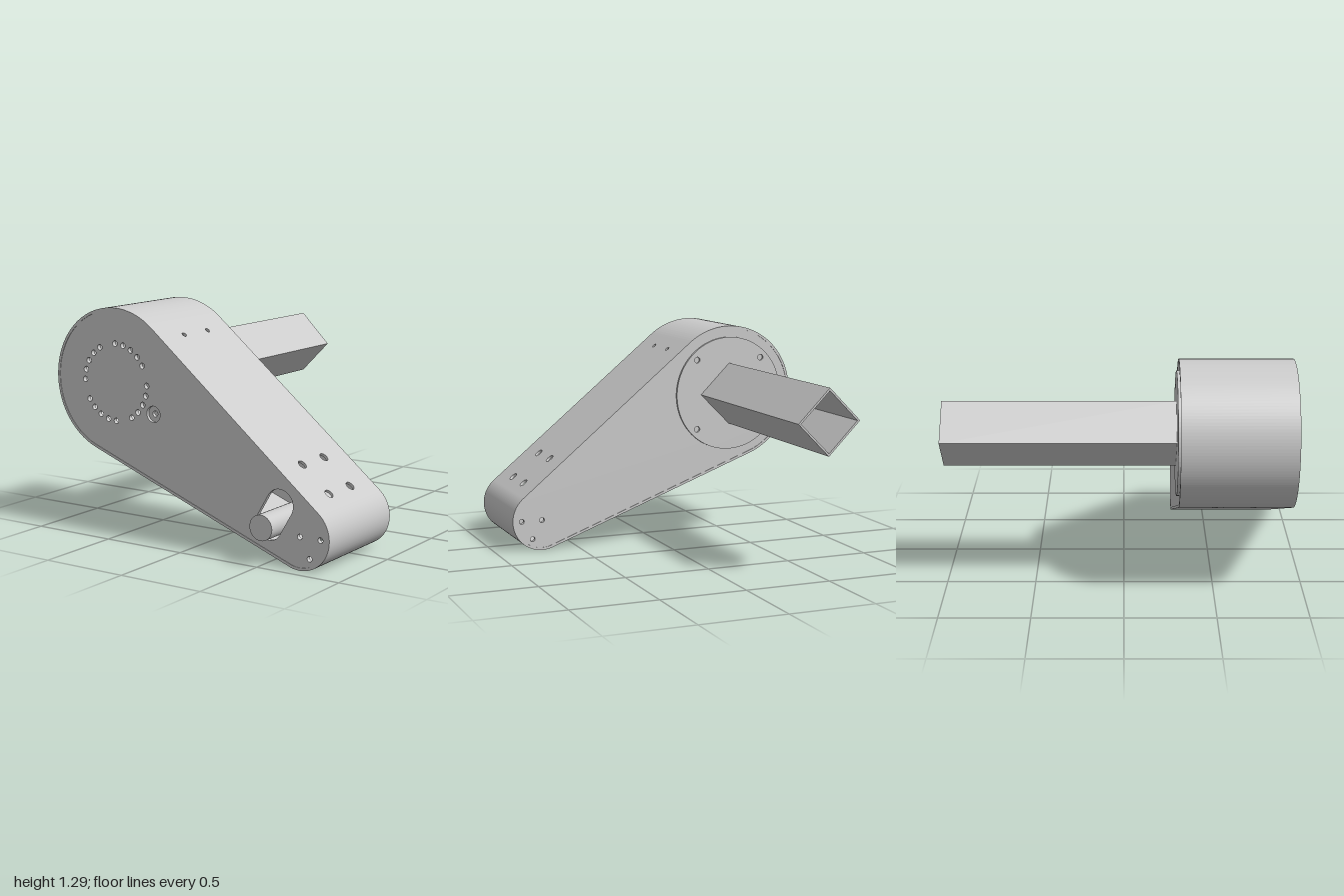
import * as THREE from 'three';

const BIG = { x: -0.49, y: 0.885, r: 0.41 };
const SMALL = { x: 0.72, y: 0.185, r: 0.18 };
const Z0 = 0.3, Z1 = 0.93, WALL = 0.015;

// Angles at which the two straight sides touch both round ends
const dx = SMALL.x - BIG.x, dy = SMALL.y - BIG.y;
const axis = Math.atan2(dy, dx);
const spread = Math.acos((BIG.r - SMALL.r) / Math.hypot(dx, dy));
const TOP = axis + spread, BOTTOM = axis - spread;

const at = (c, a, r = c.r) => new THREE.Vector2(c.x + r * Math.cos(a), c.y + r * Math.sin(a));
const circle = (x, y, r) => new THREE.Path().absarc(x, y, r, 0, Math.PI * 2, true);

export function createModel() {
  const model = new THREE.Group();
  const material = new THREE.MeshStandardMaterial({ color: 0xcccccc, roughness: 0.7 });

  const add = (name, geometry, parent = model) => {
    const mesh = new THREE.Mesh(geometry, material);
    mesh.name = name;
    parent.add(mesh);
    return mesh;
  };
  const slab = (name, shape, z0, z1, parent) => {
    const geometry = new THREE.ExtrudeGeometry(shape, { depth: z1 - z0, bevelEnabled: false, curveSegments: 40 });
    return add(name, geometry.translate(0, 0, z0), parent);
  };

  // Rounded end walls
  const endWall = (name, c, from, to) => {
    const s = new THREE.Shape();
    s.absarc(c.x, c.y, c.r, from, to, false);
    s.absarc(c.x, c.y, c.r - WALL, to, from, true);
    s.closePath();
    slab(name, s, Z0, Z1);
  };
  endWall('largeEndWall', BIG, TOP, BOTTOM + Math.PI * 2);
  endWall('smallEndWall', SMALL, BOTTOM, TOP);

  // Straight side walls, each with four large and two small screw holes
  const sideWall = (name, p, q, fromSmallEnd) => {
    const length = p.distanceTo(q);
    const s = new THREE.Shape([
      new THREE.Vector2(0, Z0), new THREE.Vector2(length, Z0),
      new THREE.Vector2(length, Z1), new THREE.Vector2(0, Z1),
    ]);
    for (const [d, r] of [[0.085, 0.026], [0.3, 0.026], [1.295, 0.014]]) {
      for (const z of [0.505, 0.72]) s.holes.push(circle(fromSmallEnd ? d : length - d, z, r));
    }
    const wall = slab(name, s, 0, WALL);
    const u = new THREE.Vector3(q.x - p.x, q.y - p.y, 0).normalize();
    const v = new THREE.Vector3(0, 0, 1);
    wall.quaternion.setFromRotationMatrix(new THREE.Matrix4().makeBasis(u, v, u.clone().cross(v)));
    wall.position.set(p.x, p.y, 0);
  };
  sideWall('topWall', at(BIG, TOP), at(SMALL, TOP), false);
  sideWall('bottomWall', at(SMALL, BOTTOM), at(BIG, BOTTOM), true);

  // Face plates sit just inside the rim
  const plateShape = () => {
    const s = new THREE.Shape();
    s.absarc(BIG.x, BIG.y, BIG.r - WALL, TOP, BOTTOM + Math.PI * 2, false);
    s.absarc(SMALL.x, SMALL.y, SMALL.r - WALL, BOTTOM, TOP, false);
    s.closePath();
    for (const [x, y] of [[0.72, 0.185], [0.845, 0.185], [0.78, 0.075]]) s.holes.push(circle(x, y, 0.015));
    return s;
  };
  const front = plateShape();

  // Ring of bolt holes with four gaps
  for (let k = 0; k < 24; k++) {
    if (k % 6 === 1) continue;
    const p = at({ x: -0.485, y: 0.882 }, k * Math.PI / 12, 0.216);
    front.holes.push(circle(p.x, p.y, 0.016));
  }

  // Adjustment slot for the pin
  const low = { x: 0.525, y: 0.22, r: 0.083 }, high = { x: 0.595, y: 0.338, r: 0.083 };
  const tilt = Math.atan2(high.y - low.y, high.x - low.x);
  const slot = new THREE.Path();
  slot.absarc(high.x, high.y, high.r, tilt + Math.PI / 2, tilt - Math.PI / 2, true);
  slot.absarc(low.x, low.y, low.r, tilt - Math.PI / 2, tilt - Math.PI * 1.5, true);
  slot.closePath();
  front.holes.push(slot);

  // Counterbored hole
  front.holes.push(circle(-0.225, 0.73, 0.045));
  slab('frontPlate', front, Z1 - 0.028, Z1 - 0.003);
  const seat = new THREE.Shape().absarc(-0.225, 0.73, 0.047, 0, Math.PI * 2, false);
  seat.holes.push(circle(-0.225, 0.73, 0.017));
  slab('counterboreSeat', seat, Z1 - 0.04, Z1 - 0.02);

  slab('backPlate', plateShape(), Z0 + 0.003, Z0 + 0.028);

  // Round rear cover with four screw holes
  const cover = new THREE.Shape().absarc(-0.485, 0.883, 0.345, 0, Math.PI * 2, false);
  for (let k = 0; k < 4; k++) {
    const p = at({ x: -0.485, y: 0.883 }, Math.PI / 4 + k * Math.PI / 2, 0.3);
    cover.holes.push(circle(p.x, p.y, 0.018));
  }
  slab('rearCover', cover, 0.288, Z0 + 0.003);

  // Hollow square arm standing on its corner
  const diamond = (r) => [0, 1, 2, 3].map((k) => at({ x: -0.485, y: 0.882 }, k * Math.PI / 2, r));
  const arm = new THREE.Shape(diamond(0.187));
  arm.holes.push(new THREE.Path(diamond(0.171).reverse()));
  slab('squareArm', arm, -1, 0.289);

  // Drive pin
  const pin = add('drivePin', new THREE.CylinderGeometry(0.07, 0.07, 0.68, 40));
  pin.rotation.x = Math.PI / 2;
  pin.position.set(low.x, low.y, 0.66);

  return model;
}
